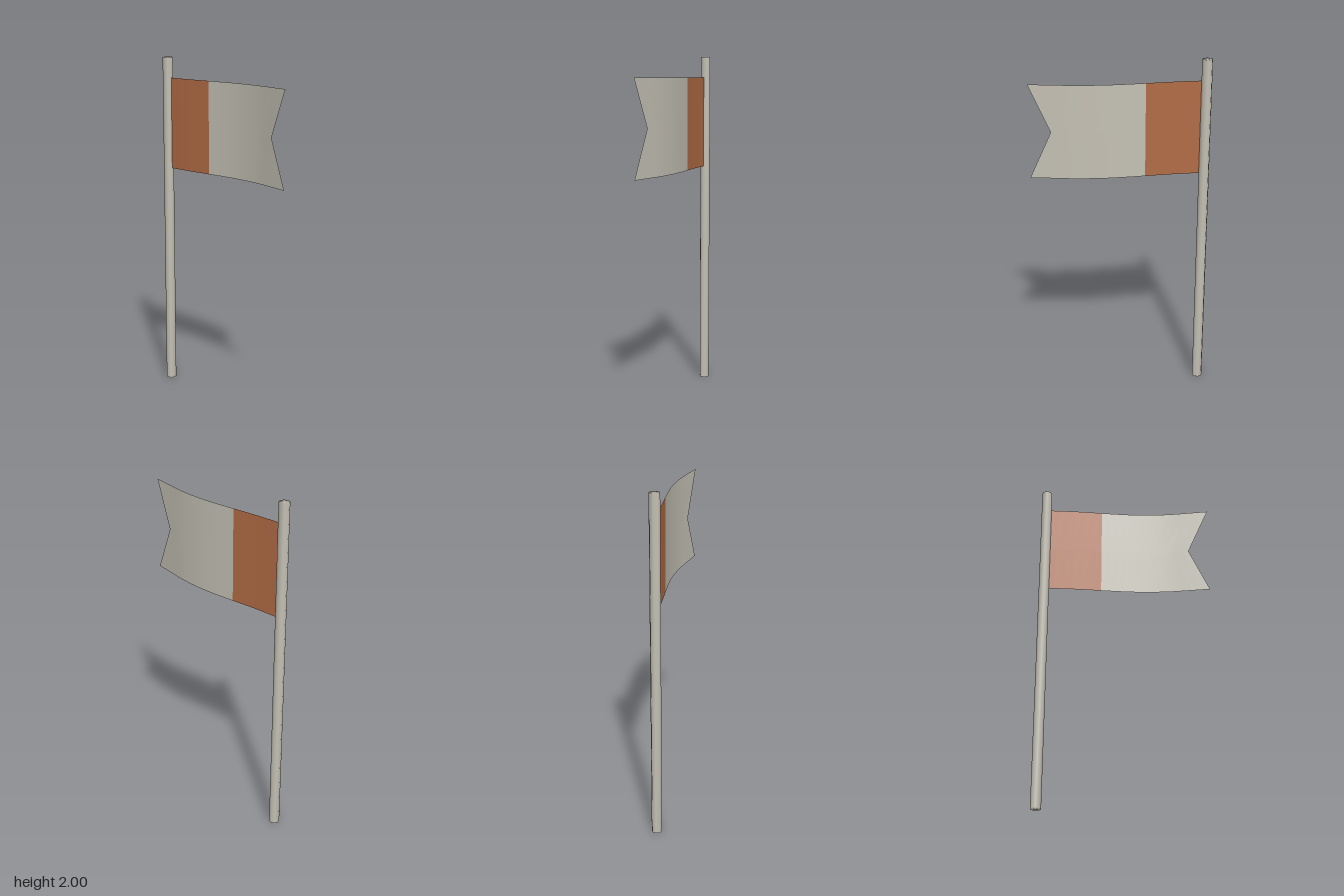
import * as THREE from 'three';
import { mergeVertices } from 'three/addons/utils/BufferGeometryUtils.js';

const TOP = 1.88, BOTTOM = 1.34, MID = (TOP + BOTTOM) / 2;
const START = -0.47, BORDER = -0.14, TIP = 0.505, NOTCH = 0.385;

// Ripple of the cloth: points are x and z
const ripple = new THREE.SplineCurve([
  [-0.48, -0.005], [-0.3, -0.008], [-0.14, -0.018], [0, -0.026],
  [0.12, -0.026], [0.26, -0.013], [0.385, 0.011], [0.505, 0.035],
].map(([x, z]) => new THREE.Vector2(x, z)));
const samples = ripple.getPoints(140);

function rippleZ(x) {
  let i = 1;
  while (i < samples.length - 1 && samples[i].x < x) i++;
  const a = samples[i - 1], b = samples[i];
  return a.y + (b.y - a.y) * (x - a.x) / (b.x - a.x);
}

// One band of cloth from x0 to x1; the middle of its far edge reaches only midX1
function clothBand(name, x0, x1, midX1, columns, material) {
  const geometry = new THREE.PlaneGeometry(1, TOP - BOTTOM, columns, 2);
  const p = geometry.attributes.position, n = geometry.attributes.normal;
  const normal = new THREE.Vector3();
  for (let i = 0; i < p.count; i++) {
    const end = Math.abs(p.getY(i)) < 0.01 ? midX1 : x1;
    const x = x0 + (p.getX(i) + 0.5) * (end - x0);
    const slope = (rippleZ(x + 0.02) - rippleZ(x - 0.02)) / 0.04;
    normal.set(-slope, 0, 1).normalize();
    p.setXYZ(i, x, MID + p.getY(i), rippleZ(x));
    n.setXYZ(i, normal.x, normal.y, normal.z);
  }
  const mesh = new THREE.Mesh(geometry, material);
  mesh.name = name;
  return mesh;
}

export function createModel() {
  const poleGray = new THREE.MeshStandardMaterial({ color: 0xc4c0b4 });
  poleGray.name = 'warmGray';
  const clothGray = new THREE.MeshStandardMaterial({ color: 0xc4c0b4, side: THREE.DoubleSide });
  clothGray.name = 'clothGray';
  const rust = new THREE.MeshStandardMaterial({ color: 0xb16b45, side: THREE.DoubleSide });
  rust.name = 'rust';

  // Eight-sided pole with normals smoothed over its ends
  let poleGeometry = new THREE.CylinderGeometry(0.03, 0.03, 2, 8);
  poleGeometry.deleteAttribute('uv');
  poleGeometry.deleteAttribute('normal');
  poleGeometry = mergeVertices(poleGeometry);
  poleGeometry.computeVertexNormals();
  const pole = new THREE.Mesh(poleGeometry, poleGray);
  pole.name = 'pole';
  pole.position.set(-0.48, 1, -0.005);

  // Swallow-tailed flag in two colours
  const flag = new THREE.Group();
  flag.name = 'flag';
  flag.add(
    clothBand('hoistBand', START, BORDER, BORDER, 6, rust),
    clothBand('swallowTail', BORDER, TIP, NOTCH, 12, clothGray),
  );

  const model = new THREE.Group();
  model.name = 'flagpole';
  model.add(pole, flag);
  return model;
}
